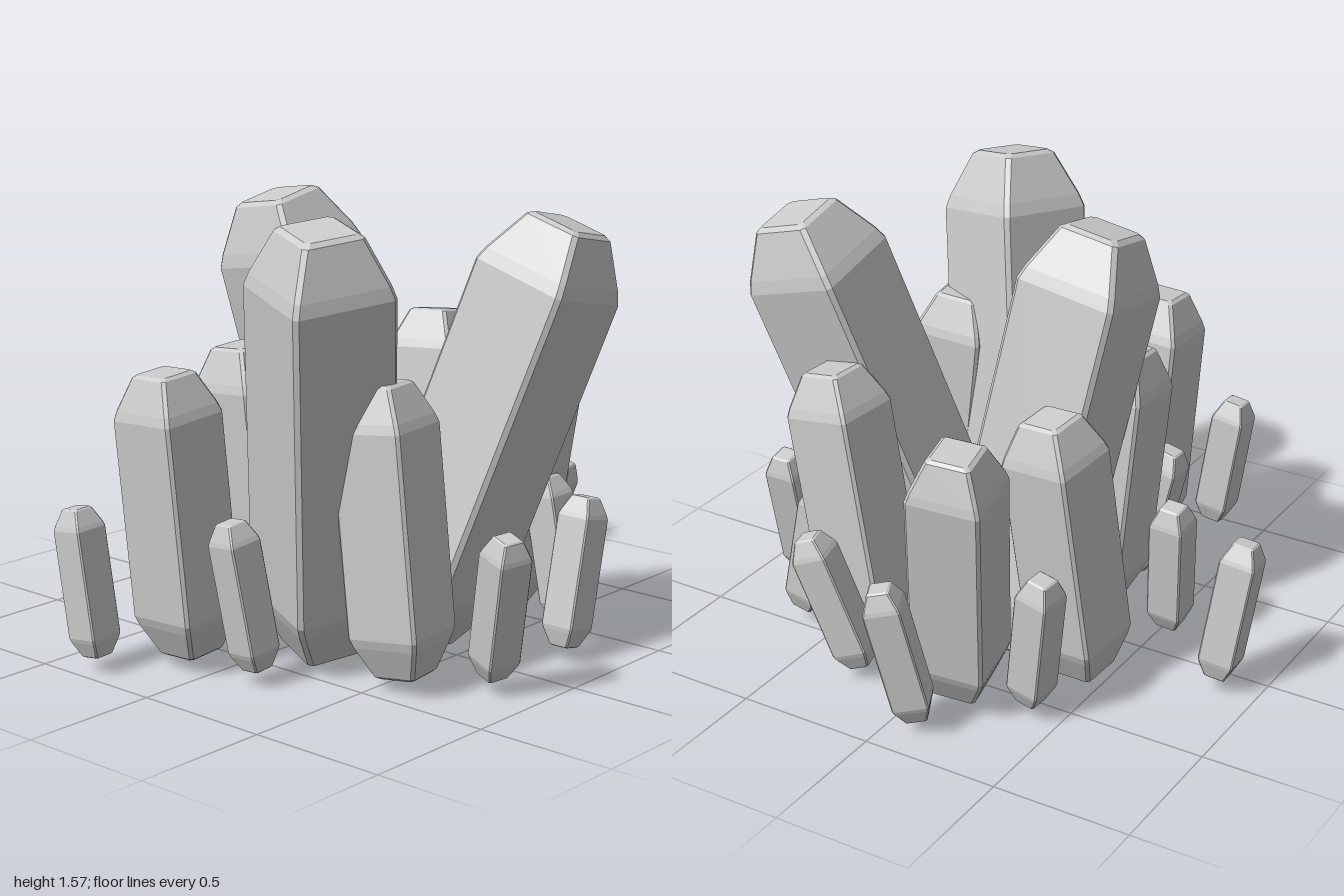
import * as THREE from 'three';

const UP = new THREE.Vector3(0, 1, 0);
const material = new THREE.MeshStandardMaterial({ color: 0xcccccc, flatShading: true, side: THREE.DoubleSide });

// Square outline of half-width r with narrow chamfered corners, at height y
function ring(r, y, chamfer) {
  const k = r - chamfer;
  return [[r, k], [k, r], [-k, r], [-r, k], [-r, -k], [-k, -r], [k, -r], [r, -k]]
    .map(([x, z]) => new THREE.Vector3(x, y, z));
}

// Square prism with bevelled edges and a blunt pyramid cap at both ends
function crystalGeometry(length, width) {
  // half of the profile, from the tip inward: [distance from tip, half-width], per unit width
  const tip = [[0, 0.25], [0.035, 0.3], [0.44, 0.465], [0.56, 0.5]];
  const profile = [
    ...tip.map(([d, r]) => [d * width, r * width]),
    ...[...tip].reverse().map(([d, r]) => [length - d * width, r * width]),
  ];
  const rings = profile.map(([y, r]) => ring(r, y - length / 2, 0.04 * width));
  const points = [];
  for (let i = 0; i < rings.length - 1; i++) {
    for (let j = 0; j < 8; j++) {
      const a = rings[i][j], b = rings[i][(j + 1) % 8];
      const c = rings[i + 1][(j + 1) % 8], d = rings[i + 1][j];
      points.push(a, d, c, a, c, b);
    }
  }
  const first = rings[0], last = rings[rings.length - 1];
  for (let j = 1; j < 7; j++) {
    points.push(first[0], first[j], first[j + 1], last[0], last[j + 1], last[j]);
  }
  const geometry = new THREE.BufferGeometry().setFromPoints(points);
  geometry.computeVertexNormals();
  return geometry;
}

// A crystal running from the centre of its bottom face to the centre of its top face
function crystal(name, bottom, top, width, yawDegrees = 0) {
  const a = new THREE.Vector3(...bottom), b = new THREE.Vector3(...top);
  const axis = b.clone().sub(a);
  const mesh = new THREE.Mesh(crystalGeometry(axis.length(), width), material);
  mesh.name = name;
  mesh.position.copy(a).add(b).multiplyScalar(0.5);
  mesh.quaternion.setFromUnitVectors(UP, axis.normalize())
    .multiply(new THREE.Quaternion().setFromAxisAngle(UP, THREE.MathUtils.degToRad(yawDegrees)));
  return mesh;
}

// Each row: bottom x, bottom z, top x, top z, yaw, (top y)
const tiers = [
  { name: 'largeCrystal', width: 0.375, y0: 0.055, y1: 1.55, rows: [
    [-0.02, 0.31, 0.28, 0.74, 0, 1.51],
    [0.24, -0.07, -0.05, -0.29, 0],
    [-0.33, 0.18, -0.57, 0.38, -20],
  ] },
  { name: 'mediumCrystal', width: 0.265, y0: 0.06, y1: 1.04, rows: [
    [-0.37, 0.58, -0.38, 0.48, 8],
    [0.44, 0.33, 0.43, 0.5, -4],
    [-0.67, -0.12, -0.74, -0.16, 0],
    [-0.19, -0.22, -0.24, -0.29, 0],
    [0.61, -0.13, 0.75, -0.21, 9],
    [0.29, -0.43, 0.38, -0.34, -7],
  ] },
  { name: 'smallCrystal', width: 0.127, y0: 0.065, y1: 0.575, rows: [
    [0.1, -0.85, 0.04, -0.91, 5],
    [-0.12, -0.55, -0.06, -0.58, 0],
    [-0.92, -0.32, -0.935, -0.39, 0],
    [-0.44, -0.25, -0.44, -0.37, 0],
    [0.57, -0.38, 0.61, -0.45, -6],
    [0.85, -0.11, 0.93, -0.02, 25],
    [-0.66, 0.18, -0.72, 0.12, -5],
    [0.67, 0.24, 0.73, 0.41, 13, 0.55],
    [-0.2, 0.81, -0.27, 0.92, -15],
    [0.45, 0.64, 0.445, 0.54, 0],
    [0.2, 0.81, 0.31, 0.81, 0],
    [-0.07, 0.03, -0.13, 0.0, 0],
  ] },
];

export function createModel() {
  const model = new THREE.Group();
  model.name = 'crystalCluster';
  for (const { name, width, y0, y1, rows } of tiers) {
    rows.forEach(([bx, bz, tx, tz, yaw, topY = y1], i) => {
      model.add(crystal(`${name}${i + 1}`, [bx, y0, bz], [tx, topY, tz], width, yaw));
    });
  }
  return model;
}
